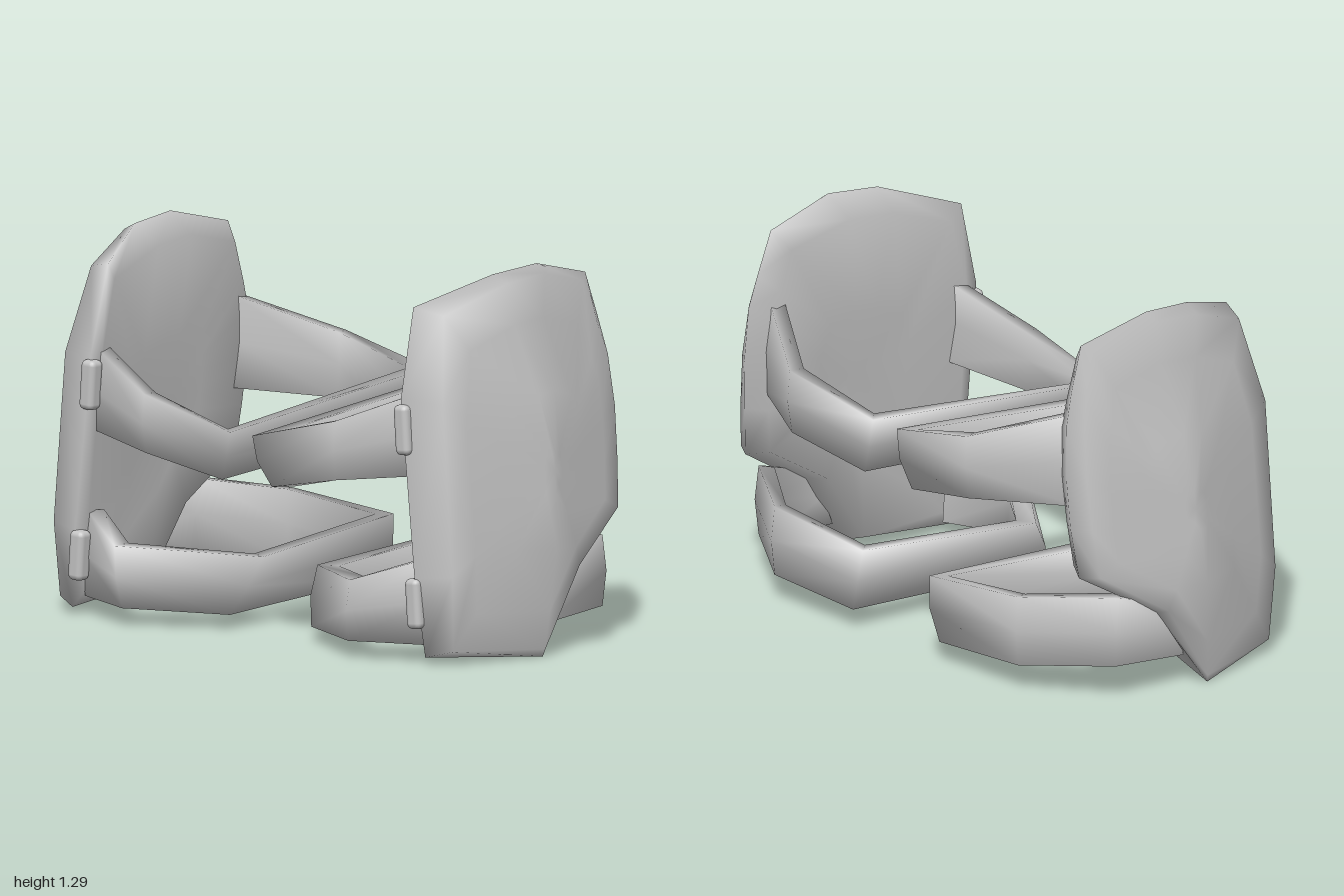
import * as THREE from 'three';
import { RoundedBoxGeometry } from 'three/addons/geometries/RoundedBoxGeometry.js';

// Skins a list of equal-sized rings, closes both ends and turns faces outward.
function loft(rings) {
  const n = rings[0].length, pos = rings.flat(2), idx = [];
  const last = (rings.length - 1) * n;
  for (let r = 0; r < rings.length - 1; r++) {
    for (let i = 0; i < n; i++) {
      const a = r * n + i, b = r * n + (i + 1) % n;
      idx.push(a, b, b + n, a, b + n, a + n);
    }
  }
  const cap = (start, flip) => {
    const c = [0, 1, 2].map(k => {
      let s = 0;
      for (let i = 0; i < n; i++) s += pos[(start + i) * 3 + k];
      return s / n;
    });
    const ci = pos.length / 3;
    pos.push(...c);
    for (let i = 0; i < n; i++) {
      const a = start + i, b = start + (i + 1) % n;
      idx.push(ci, flip ? b : a, flip ? a : b);
    }
  };
  cap(0, true);
  cap(last, false);
  // signed volume decides the winding
  let vol = 0;
  const at = i => new THREE.Vector3().fromArray(pos, i * 3);
  for (let i = 0; i < idx.length; i += 3) {
    vol += at(idx[i]).dot(at(idx[i + 1]).cross(at(idx[i + 2])));
  }
  if (vol < 0) idx.reverse();
  const g = new THREE.BufferGeometry();
  g.setAttribute('position', new THREE.Float32BufferAttribute(pos, 3));
  g.setIndex(idx);
  g.computeVertexNormals();
  return g;
}

// Mirrors a geometry across x = 0 and restores its winding.
function mirrored(geo) {
  const g = geo.index ? geo.toNonIndexed() : geo.clone();
  g.scale(-1, 1, 1);
  const idx = [];
  for (let i = 0; i < g.attributes.position.count; i += 3) idx.push(i, i + 2, i + 1);
  g.setIndex(idx);
  return g;
}

function lerpTable(table, t) {
  for (let i = 1; i < table.length; i++) {
    const [t0, v0] = table[i - 1], [t1, v1] = table[i];
    if (t <= t1) return v0 + (v1 - v0) * Math.max(0, (t - t0) / (t1 - t0));
  }
  return table[table.length - 1][1];
}

// Leg plate: rim outline as z, y, x
const rim = [
  [0.40, 1.20, 0.675], [0.13, 1.29, 0.79], [-0.07, 1.305, 0.81], [-0.34, 1.24, 0.79],
  [-0.39, 1.09, 0.80], [-0.42, 0.98, 0.81], [-0.43, 0.80, 0.82], [-0.42, 0.62, 0.83],
  [-0.40, 0.45, 0.85], [-0.12, 0.285, 0.92], [0.07, 0.01, 0.96], [0.46, 0.035, 0.78],
  [0.48, 0.30, 0.75], [0.475, 0.90, 0.685],
];
// Outer face: a vertical ridge that falls off more to the front than to the back
const ridge = [[0, 0.975], [0.37, 1.0], [0.92, 0.945], [1.07, 0.905], [1.14, 0.875], [1.3, 0.87]];
const outerX = (y, z) =>
  lerpTable(ridge, y) - (z > 0.03 ? 0.28 * (z - 0.03) : 0.19 * (0.03 - z));
const innerX = (y, z) => 0.675 + 0.07 * (0.43 - z) + 0.1 * Math.max(0, 0.9 - y);

function plateGeometry() {
  const ring = (sz, sy, fx) => rim.map(([z, y, x]) => {
    const zz = 0.02 + (z - 0.02) * sz, yy = 0.62 + (y - 0.62) * sy;
    return [fx(yy, zz, x), yy, zz];
  });
  return loft([
    ring(0.4, 0.4, (y, z) => innerX(y, z) + 0.015),
    ring(0.9, 0.9, innerX),
    ring(1, 1, (y, z, x) => x),
    ring(0.91, 0.96, outerX),
    ring(0.72, 0.75, outerX),
    ring(0.4, 0.4, outerX),
    ring(0.1, 0.1, outerX),
  ]);
}

// Strap path: outer top edge x, y, z, outer bottom edge x, y, z and thickness
const upperPath = [
  [0.72, 0.92, 0.42, 0.74, 0.64, 0.42, 0.05],
  [0.42, 0.80, 0.51, 0.42, 0.60, 0.50, 0.05],
  [0.05, 0.71, 0.50, 0.11, 0.54, 0.47, 0.05],
  [0.06, 0.80, -0.52, 0.12, 0.60, -0.505, 0.05],
  [0.45, 0.88, -0.55, 0.45, 0.66, -0.54, 0.05],
  [0.78, 1.00, -0.355, 0.80, 0.68, -0.36, 0.05],
];
const lowerPath = [
  [0.75, 0.36, 0.42, 0.76, 0.07, 0.42, 0.06],
  [0.52, 0.28, 0.545, 0.50, 0.07, 0.53, 0.065],
  [0.12, 0.25, 0.25, 0.18, 0.06, 0.35, 0.065],
  [0.17, 0.30, -0.47, 0.22, 0.08, -0.47, 0.045],
  [0.62, 0.34, -0.47, 0.62, 0.10, -0.47, 0.04],
  [0.91, 0.37, -0.29, 0.91, 0.13, -0.29, 0.05],
  [0.92, 0.31, -0.06, 0.92, 0.11, 0.0, 0.05],
];

function strapGeometry(path, bulge = 0.012) {
  const normal = (a, b) => {
    const t = new THREE.Vector2(b[0] - a[0], b[2] - a[2]).normalize();
    return new THREE.Vector2(-t.y, t.x);
  };
  const rings = path.map((p, i) => {
    const n1 = i > 0 ? normal(path[i - 1], p) : normal(p, path[i + 1]);
    const n2 = i < path.length - 1 ? normal(p, path[i + 1]) : n1;
    const m = n1.clone().add(n2).divideScalar(1 + n1.dot(n2));
    const v = (f, d) => [
      p[0] + (p[3] - p[0]) * f + m.x * d,
      p[1] + (p[4] - p[1]) * f,
      p[2] + (p[5] - p[2]) * f + m.y * d,
    ];
    const thick = p[6];
    return [v(0, 0), v(0.5, -bulge), v(1, 0), v(1, thick), v(0.5, thick - bulge), v(0, thick)];
  });
  return loft(rings);
}

// Small rounded clasp on the front edge of the plate
function claspGeometry(x, y) {
  const g = new RoundedBoxGeometry(0.06, 0.17, 0.06, 2, 0.02);
  g.rotateZ(0.07);
  g.translate(x, y, 0.465);
  return g;
}

export function createModel() {
  const model = new THREE.Group();
  model.name = 'legGuards';
  const metal = new THREE.MeshStandardMaterial({ color: 0xc4c4c4 });
  metal.name = 'light grey';

  const parts = {
    plate: plateGeometry(),
    upperStrap: strapGeometry(upperPath),
    lowerStrap: strapGeometry(lowerPath),
    upperClasp: claspGeometry(0.695, 0.797),
    lowerClasp: claspGeometry(0.745, 0.215),
  };
  for (const side of ['left', 'right']) {
    const guard = new THREE.Group();
    guard.name = side + 'Guard';
    for (const [name, geo] of Object.entries(parts)) {
      const mesh = new THREE.Mesh(side === 'left' ? geo : mirrored(geo), metal);
      mesh.name = name;
      guard.add(mesh);
    }
    model.add(guard);
  }
  return model;
}
